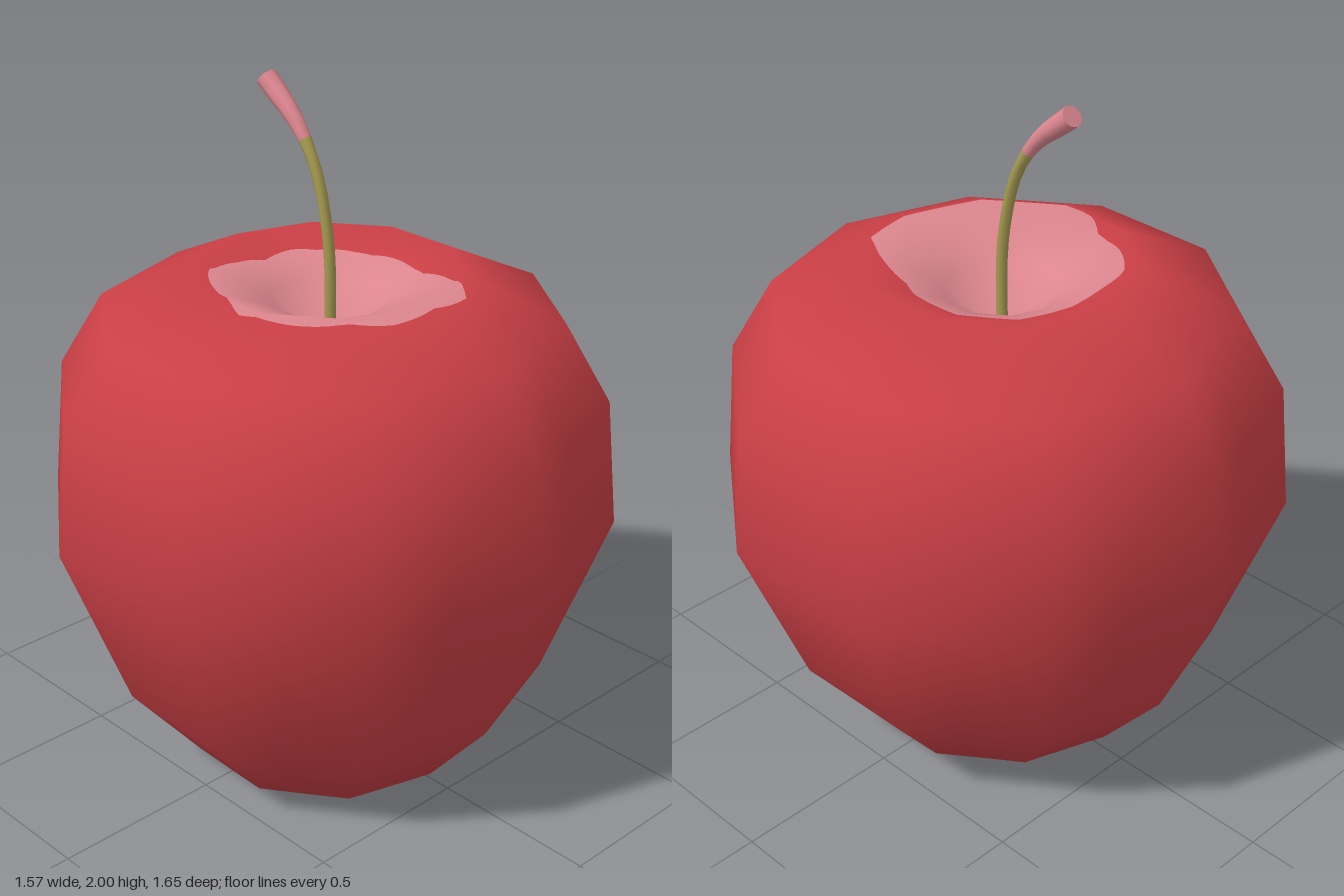
import * as THREE from 'three';

const SIDES = 10, COLS = 90; // ten flat-sided segments, finely divided so the patches can have ragged edges

// Body profile from the underside tip to the stem pit: [radius, height, tilt]
const PROFILE = [
  [0, 0.06, 0], [0.06, 0.13, 0], [0.18, 0.005, 0], [0.43, 0.033, 0.013],
  [0.635, 0.275, 0.015], [0.825, 0.77, -0.006], [0.79, 1.145, 0.005],
  [0.66, 1.365, -0.005], [0.385, 1.488, 0], [0.17, 1.4, 0], [0, 1.25, 0],
];
const LAST = PROFILE.length - 1, RIM = 8;

// Patch outlines: radius at equal angles, starting at the front and turning to +x
const TOP_EDGE = [0.4, 0.41, 0.33, 0.27, 0.265, 0.265, 0.26, 0.27, 0.275,
  0.265, 0.29, 0.335, 0.335, 0.33, 0.4, 0.4, 0.4, 0.41];
const BOTTOM_EDGE = [0.22, 0.21, 0.24, 0.33, 0.21, 0.2, 0.22, 0.28];

const lerp = THREE.MathUtils.lerp;
const angle = (j) => (j / COLS) * Math.PI * 2;

// Ratio of a ten-sided outline to its corner radius at a given column
function outline(j) {
  const half = Math.PI / SIDES;
  return Math.cos(half) / Math.cos((angle(j) % (2 * half)) - half);
}

function tableRadius(table, j) {
  const t = ((j % COLS) / COLS) * table.length, k = Math.floor(t);
  return lerp(table[k], table[(k + 1) % table.length], t - k);
}

// Profile position whose radius matches a patch outline, searched from index a to b
function edgePosition(table, j, a, b) {
  const r = tableRadius(table, j) / outline(j);
  for (let k = a; k < b; k++) {
    const r0 = PROFILE[k][0], r1 = PROFILE[k + 1][0];
    if ((r - r0) * (r - r1) <= 0) return k + (r - r0) / (r1 - r0);
  }
  return b;
}

// Smooth profile normals
const NORMALS = PROFILE.map((p, i) => {
  if (i === 0) return new THREE.Vector2(0, -1);
  if (i === LAST) return new THREE.Vector2(0, 1);
  const side = (a, b) => new THREE.Vector2(b[1] - a[1], a[0] - b[0]).normalize();
  return side(PROFILE[i - 1], p).add(side(p, PROFILE[i + 1])).normalize();
});

// Lofted skin through rows, each row giving a profile position per column
function skin(rows) {
  const pos = [], nor = [], index = [];
  for (const row of rows) {
    for (let j = 0; j <= COLS; j++) {
      const s = row(j), k = Math.min(Math.floor(s), LAST - 1), f = s - k;
      const [r, y, tilt] = PROFILE[k].map((v, c) => lerp(v, PROFILE[k + 1][c], f));
      const n = NORMALS[k].clone().lerp(NORMALS[k + 1], f).normalize();
      const sin = Math.sin(angle(j)), cos = Math.cos(angle(j)), R = r * outline(j);
      pos.push(R * sin, y + tilt * (sin - cos), R * cos);
      nor.push(n.x * sin, n.y, n.x * cos);
    }
  }
  for (let i = 0; i < rows.length - 1; i++) {
    for (let j = 0; j < COLS; j++) {
      const a = i * (COLS + 1) + j, d = a + COLS + 1;
      index.push(a, a + 1, d + 1, a, d + 1, d);
    }
  }
  const g = new THREE.BufferGeometry();
  g.setAttribute('position', new THREE.Float32BufferAttribute(pos, 3));
  g.setAttribute('normal', new THREE.Float32BufferAttribute(nor, 3));
  g.setIndex(index);
  return g;
}

export function createModel() {
  const red = new THREE.MeshStandardMaterial({ color: 0xc93f45 });
  red.name = 'red skin';
  const pink = new THREE.MeshStandardMaterial({ color: 0xdc868e });
  pink.name = 'pale pink';
  const olive = new THREE.MeshStandardMaterial({ color: 0xa59a50 });
  olive.name = 'olive stem';

  const model = new THREE.Group();
  model.name = 'apple';
  const add = (name, geometry, material) => {
    const mesh = new THREE.Mesh(geometry, material);
    mesh.name = name;
    model.add(mesh);
    return mesh;
  };

  // Fruit: red skin between a pale underside and a pale stem pit
  const at = (i) => () => i;
  const low = (j) => edgePosition(BOTTOM_EDGE, j, 2, 4);
  const high = (j) => edgePosition(TOP_EDGE, j, 7, 9);
  add('underside', skin([at(0), at(1), at(2), low]), pink);
  add('skin', skin([low, at(3), at(4), at(5), at(6), at(7),
    (j) => Math.min(high(j), RIM), high]), red);
  add('stemPit', skin([high, (j) => Math.max(high(j), RIM), at(9), at(LAST)]), pink);

  // Stem: curved tube that flares towards a pale tip
  const path = new THREE.CatmullRomCurve3([
    [1.22, 0], [1.48, 0.003], [1.6, -0.01], [1.75, -0.05], [1.87, -0.125], [1.977, -0.25],
  ].map(([y, z]) => new THREE.Vector3(0, y, z)));
  const steps = 16, sides = 8, paleFrom = 12;
  const tube = new THREE.TubeGeometry(path, steps, 1, sides);
  const p = tube.attributes.position, v = new THREE.Vector3();
  for (let i = 0; i < p.count; i++) {
    const t = Math.floor(i / (sides + 1)) / steps;
    const centre = path.getPointAt(t);
    const radius = 0.016 + 0.015 * THREE.MathUtils.smoothstep(t, 0.65, 1);
    v.fromBufferAttribute(p, i).sub(centre).multiplyScalar(radius).add(centre);
    p.setXYZ(i, v.x, v.y, v.z);
  }
  tube.clearGroups();
  tube.addGroup(0, paleFrom * sides * 6, 0);
  tube.addGroup(paleFrom * sides * 6, (steps - paleFrom) * sides * 6, 1);
  add('stem', tube, [olive, pink]);

  // Flat end of the stem
  const tip = add('stemTip', new THREE.CircleGeometry(0.031, sides), pink);
  tip.position.copy(path.getPointAt(1));
  tip.lookAt(path.getPointAt(1).add(path.getTangentAt(1)));

  return model;
}
